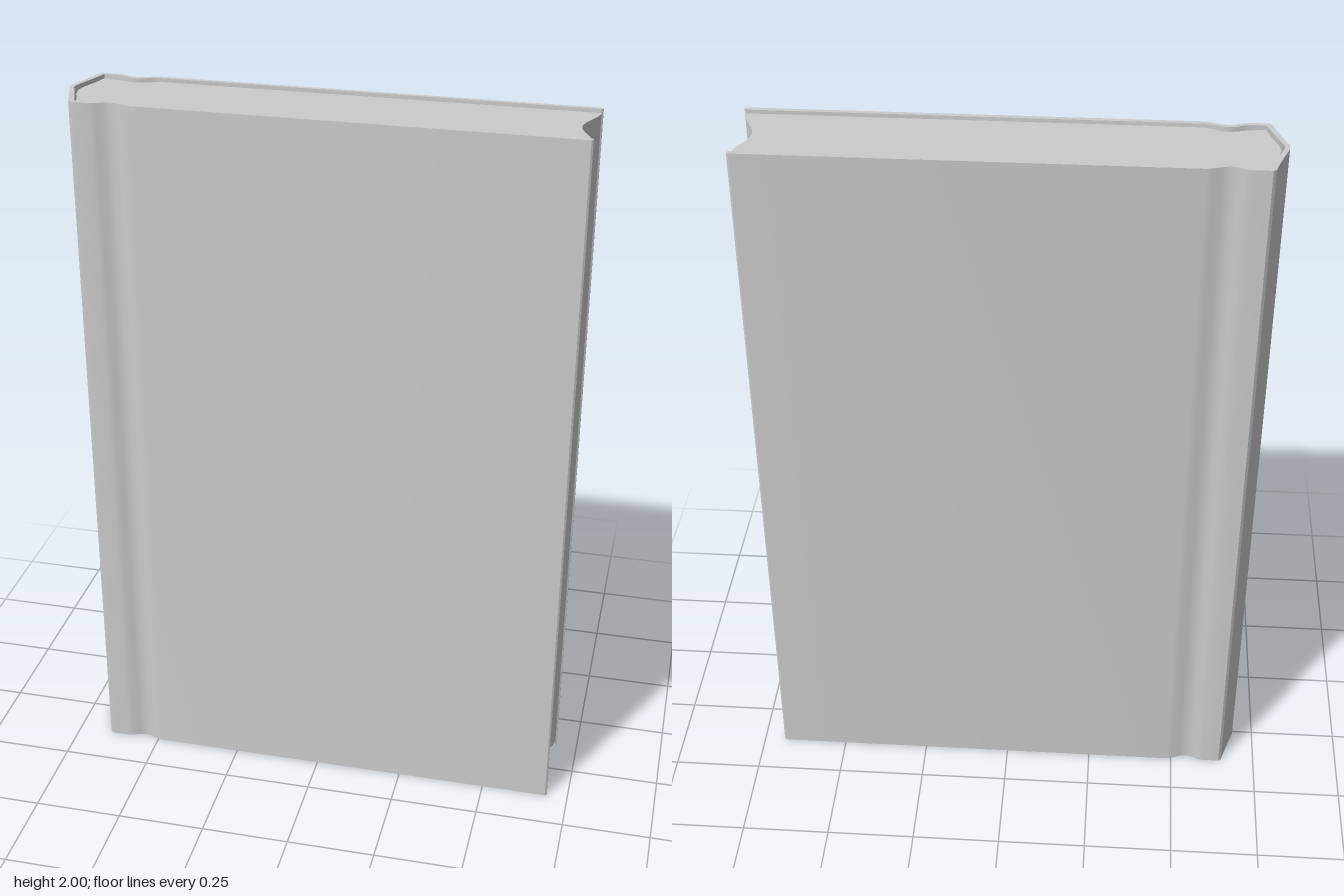
import * as THREE from 'three';
import { toCreasedNormals } from 'three/addons/utils/BufferGeometryUtils.js';

const grey = new THREE.MeshStandardMaterial({ color: 0xcccccc });

// Half outlines as [x, z], listed from the fore-edge to the middle of the spine
const coverOuter = [
  [0.685, 0.13], [-0.485, 0.13], [-0.503, 0.126], [-0.525, 0.117], [-0.545, 0.113], [-0.562, 0.117],
  [-0.58, 0.126], [-0.595, 0.129], [-0.645, 0.129], [-0.653, 0.122], [-0.66, 0.098], [-0.676, 0.05], [-0.69, 0.012], [-0.691, 0],
];
const coverInner = [
  [0.685, 0.117], [-0.485, 0.117], [-0.505, 0.112], [-0.527, 0.104], [-0.545, 0.101], [-0.562, 0.104],
  [-0.58, 0.113], [-0.595, 0.117], [-0.638, 0.117], [-0.646, 0.095], [-0.662, 0.05], [-0.677, 0.01], [-0.678, 0],
];
const pageOuter = [
  [-0.48, 0.116], [-0.505, 0.107], [-0.527, 0.098], [-0.545, 0.095], [-0.562, 0.098], [-0.585, 0.105],
  [-0.637, 0.114], [-0.65, 0.07], [-0.665, 0.03], [-0.671, 0],
];

// Continue a half outline past the spine with its mirror image
const mirrored = (half) => [...half, ...half.slice(0, -1).reverse().map(([x, z]) => [x, -z])];

// Extrude a plan outline upwards from y0 to y1
function upright(name, outline, y0, y1) {
  const shape = new THREE.Shape(outline.map(([x, z]) => new THREE.Vector2(x, -z)));
  let geometry = new THREE.ExtrudeGeometry(shape, { depth: y1 - y0, bevelEnabled: false });
  geometry.rotateX(-Math.PI / 2);
  geometry.translate(0, y0, 0);
  geometry = toCreasedNormals(geometry, 0.5);
  const mesh = new THREE.Mesh(geometry, grey);
  mesh.name = name;
  return mesh;
}

export function createModel() {
  const book = new THREE.Group();
  book.name = 'book';

  // One wrapped case: boards, hinge grooves and spine, with softened board edges
  const outer = mirrored(coverOuter);
  const inner = mirrored(coverInner).reverse();
  const lip = (z) => [[0.69, z], [0.69, -z]];
  const backLip = [[0.69, -0.126], [0.69, -0.121]];
  const frontLip = [[0.69, 0.121], [0.69, 0.126]];
  book.add(upright('cover', [...outer, ...backLip, ...inner, ...frontLip], 0, 2));

  // Page block with a hollow, S-curved fore-edge
  const foreEdge = [];
  for (let i = 0; i <= 24; i++) {
    const t = i / 24;
    foreEdge.push([0.668 + 0.018 * Math.cos(2 * Math.PI * t), -0.116 + 0.232 * t]);
  }
  book.add(upright('pages', [...mirrored(pageOuter), ...foreEdge], 0.02, 1.99));

  return book;
}
